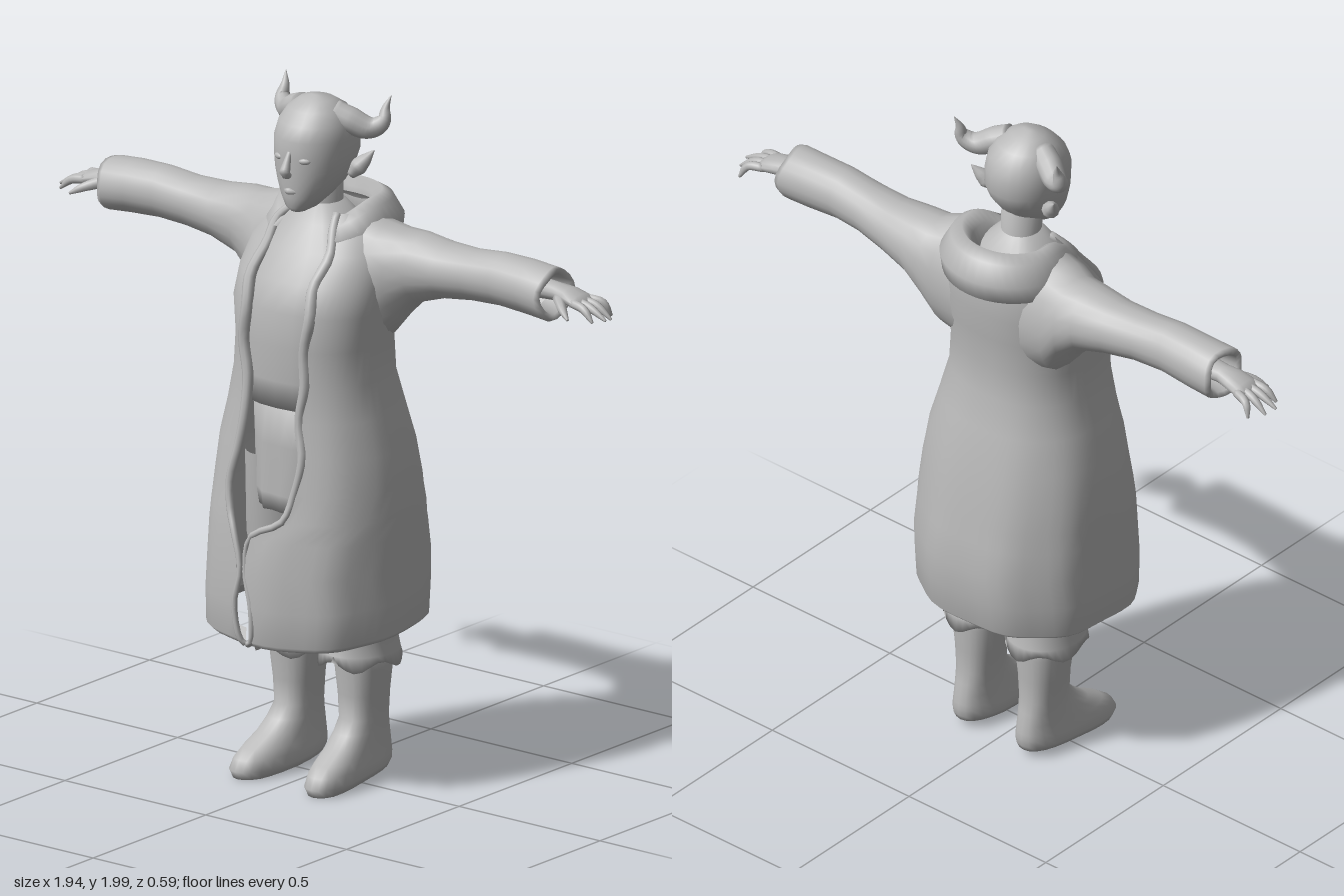
import * as THREE from 'three';

const clay = new THREE.MeshStandardMaterial({ color: 0xb8b8b8, side: THREE.DoubleSide });
clay.name = 'clay grey';
const TAU = Math.PI * 2;
const V = (x, y, z) => new THREE.Vector3(x, y, z);

// Skin over a list of rings; the winding is turned outwards by signed volume
function loft(name, rings, { closed = true, caps = true } = {}) {
  const n = rings[0].length, pts = rings.flat(), idx = [];
  for (let r = 0; r < rings.length - 1; r++)
    for (let i = 0; i < (closed ? n : n - 1); i++) {
      const j = (i + 1) % n, a = r * n + i, b = r * n + j;
      idx.push(a, b, b + n, a, b + n, a + n);
    }
  if (caps) [0, rings.length - 1].forEach((r, k) => {
    const c = rings[r].reduce((s, p) => s.add(p), V(0, 0, 0)).divideScalar(n);
    const id = pts.push(c) - 1;
    for (let i = 0; i < n; i++) {
      const a = r * n + i, b = r * n + (i + 1) % n;
      k ? idx.push(a, b, id) : idx.push(b, a, id);
    }
  });
  const mid = pts.reduce((s, p) => s.add(p), V(0, 0, 0)).divideScalar(pts.length);
  const at = (i) => pts[i].clone().sub(mid);
  let vol = 0;
  for (let i = 0; i < idx.length; i += 3) vol += at(idx[i]).dot(at(idx[i + 1]).cross(at(idx[i + 2])));
  if (vol < 0) idx.reverse();
  const g = new THREE.BufferGeometry().setFromPoints(pts);
  g.setIndex(idx);
  g.computeVertexNormals();
  const m = new THREE.Mesh(g, clay);
  m.name = name;
  return m;
}

const hoop = (n, fn, a0 = 0, a1 = TAU, open = false) =>
  Array.from({ length: n }, (_, i) => fn(a0 + (a1 - a0) * i / (open ? n - 1 : n)));
const soft = (v, p) => Math.sign(v) * Math.abs(v) ** p;

// Upright body point: section is [y, half width, front z, back z]
const around = ([y, rx, zf, zb], a, cx = 0, p = 1) =>
  V(cx + rx * soft(Math.sin(a), p), y, (zf + zb) / 2 + (zf - zb) / 2 * soft(Math.cos(a), p));
const column = (name, sections, cx = 0, p = 1, n = 24) =>
  loft(name, sections.map((s) => hoop(n, (a) => around(s, a, cx, p))));

// Tapered tube through points, with a radius that changes along it
function taper(name, points, radii, n = 10, steps = 14) {
  const curve = new THREE.CatmullRomCurve3(points.map((p) => V(...p)));
  const fr = curve.computeFrenetFrames(steps);
  return loft(name, Array.from({ length: steps + 1 }, (_, k) => {
    const t = k / steps, f = t * (radii.length - 1), i = Math.min(Math.floor(f), radii.length - 2);
    const r = THREE.MathUtils.lerp(radii[i], radii[i + 1], f - i), c = curve.getPoint(t);
    return hoop(n, (a) => c.clone().addScaledVector(fr.normals[k], r * Math.cos(a))
      .addScaledVector(fr.binormals[k], r * Math.sin(a)));
  }));
}

// Long open coat: y, half width, front z, back z, opening edges at -x and +x
function coat() {
  const g = new THREE.Group();
  g.name = 'coat';
  const rows = [
    [0.51, 0.26, 0.25, -0.23, -0.05, 0], [0.475, 0.29, 0.275, -0.26, -0.03, -0.02],
    [0.49, 0.305, 0.29, -0.275, -0.05, -0.01], [0.58, 0.305, 0.295, -0.285, -0.055, 0],
    [0.67, 0.302, 0.29, -0.29, -0.05, -0.03], [0.76, 0.3, 0.28, -0.275, -0.07, -0.01],
    [0.82, 0.297, 0.27, -0.267, -0.11, 0.06], [0.9, 0.29, 0.255, -0.253, -0.11, 0.095],
    [1, 0.276, 0.242, -0.235, -0.1, 0.1], [1.1, 0.25, 0.225, -0.21, -0.075, 0.09],
    [1.2, 0.227, 0.215, -0.185, -0.09, 0.09], [1.3, 0.222, 0.21, -0.18, -0.1, 0.095],
    [1.4, 0.235, 0.207, -0.19, -0.1, 0.1], [1.48, 0.235, 0.175, -0.2, -0.1, 0.1],
    [1.56, 0.225, 0.115, -0.2, -0.1, 0.1], [1.62, 0.19, 0.07, -0.19, -0.09, 0.09],
    [1.66, 0.13, 0.04, -0.16, -0.07, 0.07],
  ];
  const rings = rows.map((s) => {
    const low = THREE.MathUtils.clamp((0.75 - s[0]) / 0.25, 0, 1);
    const skirt = THREE.MathUtils.clamp((1.2 - s[0]) / 0.5, 0, 1);
    return hoop(49, (a) => {
      const p = around(s, a, 0, 0.88), k = 1 + 0.014 * skirt * Math.sin(a * 9 + 1);
      return V(p.x * k, p.y - low * 0.03 * Math.max(0, Math.cos(a)), p.z * k);
    }, Math.asin(s[5] / s[1]) ** 1, TAU + Math.asin(s[4] / s[1]), true);
  });
  g.add(loft('coatBody', rings, { closed: false, caps: false }));
  // Rumpled front edges
  for (const i of [0, 48]) {
    const edge = rings.slice(1).map((r, k) => {
      const p = r[i];
      return [p.x + (k % 2 ? 0.006 : -0.006), p.y, p.z - 0.006];
    });
    g.add(taper('coatEdge', edge, [0.01, 0.008, 0.012, 0.016, 0.018, 0.012], 8, 48));
  }
  return g;
}

// Horseshoe hood lying on the shoulders
function hood() {
  const rings = hoop(33, (a) => {
    const b = (1 - Math.cos(a)) / 2, up = Math.sin(Math.min(1, b * 2) * Math.PI / 2);
    return [[0.075, 0.085, 1.6], [0.1, 0.1, 1.62 + 0.05 * up], [0.135, 0.115, 1.615 + 0.085 * up],
      [0.165, 0.15, 1.605 + 0.075 * up], [0.195, 0.182, 1.59 + 0.035 * up], [0.19, 0.172, 1.575 - 0.005 * up],
      [0.14, 0.13, 1.56 - 0.02 * b]].map(([rx, rz, y]) =>
      V(rx * Math.sin(a), y, -0.08 + Math.cos(a) * (rz + (a > 1.6 && a < 4.7 ? 0 : 0.01))));
  }, 0.55, TAU - 0.55, true);
  return loft('hood', rings);
}

// Sleeve and hand for one side
function arm(s) {
  const g = new THREE.Group();
  g.name = s > 0 ? 'leftArm' : 'rightArm';
  const rows = [ // x, top y, bottom y, front z, back z
    [0.12, 1.66, 1.27, 0.07, -0.18], [0.2, 1.64, 1.3, 0.06, -0.185], [0.25, 1.63, 1.37, 0.03, -0.185],
    [0.31, 1.625, 1.425, 0.015, -0.18], [0.4, 1.615, 1.455, 0.005, -0.165], [0.5, 1.617, 1.472, 0, -0.15],
    [0.6, 1.625, 1.475, 0, -0.145], [0.7, 1.625, 1.47, 0.003, -0.15], [0.775, 1.62, 1.465, 0.008, -0.152],
    [0.79, 1.615, 1.47, 0.003, -0.147], [0.782, 1.6, 1.485, -0.012, -0.132], [0.73, 1.59, 1.5, -0.02, -0.12],
  ];
  g.add(loft('sleeve', rows.map(([x, t, b, f, k], i) => hoop(20, (a) => V(
    s * (x + 0.006 * Math.sin(3 * a)),
    (t + b) / 2 + (t - b) / 2 * Math.cos(a) * (1 + 0.02 * Math.sin(i * 2.3 + a)),
    (f + k) / 2 + (f - k) / 2 * Math.sin(a)))), { caps: false }));
  const palm = [[0.72, 1.55, 0.03, 0.035], [0.79, 1.55, 0.025, 0.032], [0.83, 1.547, 0.024, 0.042],
    [0.87, 1.538, 0.02, 0.046], [0.89, 1.53, 0.014, 0.042]];
  g.add(loft('palm', palm.map(([x, y, ry, rz]) =>
    hoop(14, (a) => V(s * x, y + ry * Math.cos(a), -0.08 + rz * Math.sin(a))))));
  const tips = [[0.945, 1.5, -0.035], [0.968, 1.503, -0.065], [0.96, 1.497, -0.1], [0.93, 1.493, -0.14]];
  tips.forEach(([x, y, z], i) => {
    const z0 = -0.047 - 0.022 * i;
    g.add(taper('finger', [[s * 0.865, 1.538, z0], [s * 0.91, 1.53, (z0 + z) / 2], [s * x, y, z]],
      [0.013, 0.013, 0.011, 0.004], 8, 8));
  });
  g.add(taper('thumb', [[s * 0.81, 1.54, -0.055], [s * 0.85, 1.525, -0.02], [s * 0.885, 1.505, 0]],
    [0.018, 0.015, 0.011, 0.004], 8, 8));
  if (s < 0) g.position.y = 0.015;
  return g;
}

// Trouser leg with scalloped cuff, and boot
function leg(s) {
  const g = new THREE.Group();
  g.name = s > 0 ? 'leftLeg' : 'rightLeg';
  const cloth = [[0.95, 0.1, 0.14, -0.15], [0.7, 0.112, 0.12, -0.15], [0.55, 0.105, 0.08, -0.15],
    [0.45, 0.1, 0.06, -0.15], [0.39, 0.108, 0.075, -0.165], [0.36, 0.112, 0.082, -0.172], [0.385, 0.085, 0.05, -0.15]];
  g.add(loft('trouserLeg', cloth.map((c, k) => hoop(32, (a) => {
    const p = around(c, a, s * 0.112);
    p.y += k > 4 ? 0.014 * Math.cos(5 * a) : 0;
    return p;
  })), { caps: false }));
  const boot = [[0.44, 0.076, 0.03, -0.14], [0.34, 0.074, 0.025, -0.14], [0.26, 0.064, 0.018, -0.135],
    [0.19, 0.058, 0.018, -0.135], [0.155, 0.058, 0.05, -0.143], [0.12, 0.06, 0.095, -0.15],
    [0.09, 0.064, 0.15, -0.155], [0.065, 0.068, 0.185, -0.157], [0.035, 0.07, 0.202, -0.155], [0.012, 0.06, 0.192, -0.148]];
  g.add(loft('boot', boot.map((c) => hoop(24, (a) => {
    const p = around(c, a, s * 0.115, 0.85);
    if (c[0] < 0.1) p.y += 0.09 * Math.max(0, 0.15 - p.z) * (0.1 - c[0]) / 0.09;
    p.x += s * 0.1 * Math.max(0, p.z);
    return p;
  }))));
  return g;
}

// Head with nose, lips, eyes, ears and curled horns
function head() {
  const g = new THREE.Group();
  g.name = 'head';
  g.add(column('skull', [[1.672, 0.02, 0.11, 0.06], [1.685, 0.042, 0.122, 0.02], [1.715, 0.066, 0.128, -0.03],
    [1.75, 0.088, 0.13, -0.075], [1.79, 0.104, 0.132, -0.105], [1.83, 0.112, 0.132, -0.122], [1.88, 0.112, 0.132, -0.12],
    [1.92, 0.104, 0.115, -0.108], [1.955, 0.083, 0.085, -0.08], [1.98, 0.05, 0.05, -0.04], [1.99, 0.015, 0.02, 0]], 0, 0.95));
  g.add(column('neck', [[1.56, 0.075, 0.03, -0.11], [1.64, 0.056, 0.03, -0.08], [1.76, 0.056, 0.05, -0.08]]));
  g.add(taper('nose', [[0, 1.85, 0.128], [0, 1.815, 0.142], [0, 1.793, 0.148], [0, 1.782, 0.132]],
    [0.006, 0.012, 0.016, 0.01], 10, 10));
  g.add(taper('lips', [[-0.028, 1.733, 0.115], [0, 1.736, 0.13], [0.028, 1.733, 0.115]], [0.003, 0.01, 0.003], 8, 8));
  for (const s of [1, -1]) {
    const eye = new THREE.Mesh(new THREE.SphereGeometry(0.016, 12, 8), clay);
    eye.name = 'eye';
    eye.scale.set(1.1, 0.55, 0.5);
    eye.position.set(s * 0.046, 1.828, 0.119);
    eye.rotation.y = s * 0.4;
    g.add(eye);
    g.add(taper('ear', [[s * 0.098, 1.765, -0.02], [s * 0.115, 1.79, -0.032], [s * 0.132, 1.812, -0.045],
      [s * 0.15, 1.838, -0.06]], [0.012, 0.026, 0.018, 0.002]));
    g.add(taper('horn', [[s * 0.055, 1.945, 0], [s * 0.1, 1.925, -0.02], [s * 0.145, 1.905, -0.045],
      [s * 0.18, 1.925, -0.065], [s * 0.178, 1.96, -0.075], [s * 0.187, 1.998, -0.09]],
    [0.036, 0.038, 0.032, 0.023, 0.013, 0.001], 12, 24));
  }
  return g;
}

export function createModel() {
  const model = new THREE.Group();
  model.name = 'hornedFigure';
  model.add(coat(), hood(), head());
  // Shirt under the coat, and the cloth hanging below it
  model.add(column('shirt', [[1.12, 0.19, 0.19, -0.15], [1.2, 0.19, 0.198, -0.15], [1.3, 0.19, 0.198, -0.15],
    [1.4, 0.195, 0.195, -0.16], [1.48, 0.19, 0.165, -0.16], [1.56, 0.17, 0.115, -0.16], [1.63, 0.11, 0.07, -0.12],
    [1.68, 0.06, 0.035, -0.08]], 0, 0.85));
  model.add(loft('waistCloth', [[0.81, 0.14, 0.17, -0.13], [0.86, 0.15, 0.175, -0.14], [1, 0.16, 0.17, -0.14],
    [1.16, 0.17, 0.17, -0.14]].map((c, k) => hoop(32, (a) => {
    const p = around(c, a, 0, 0.85);
    p.z += 0.007 * Math.sin(a * 12) * (1 - k / 3);
    return p;
  }))));
  for (const s of [1, -1]) model.add(arm(s), leg(s));
  return model;
}
